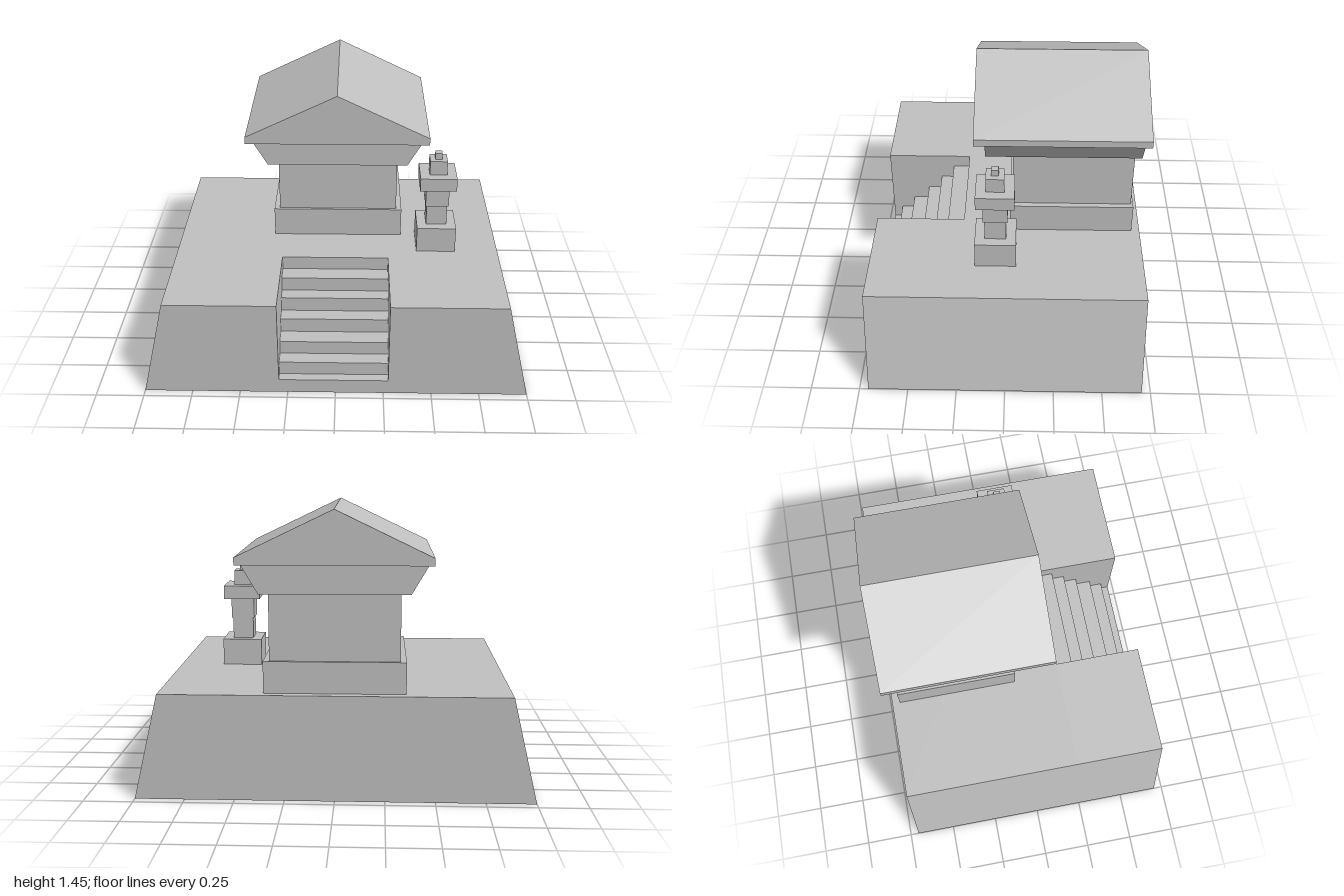
import * as THREE from 'three';

const stone = new THREE.MeshStandardMaterial({ color: 0xc0c0c0 });
stone.name = 'grey stone';

export function createModel() {
  const model = new THREE.Group();
  model.name = 'shrine';

  const add = (name, geometry, parent = model) => {
    const mesh = new THREE.Mesh(geometry, stone);
    mesh.name = name;
    parent.add(mesh);
    return mesh;
  };
  const extrude = (points, depth) => new THREE.ExtrudeGeometry(
    new THREE.Shape(points.map(([x, y]) => new THREE.Vector2(x, y))),
    { depth, bevelEnabled: false });
  // Front profile (x, y) run from z0 to z1
  const prism = (name, points, z0, z1, parent) =>
    add(name, extrude(points, z1 - z0).translate(0, 0, z0), parent);
  // Box given by its limits
  const block = (name, [x0, x1], [y0, y1], [z0, z1], parent) =>
    add(name, new THREE.BoxGeometry(x1 - x0, y1 - y0, z1 - z0)
      .translate((x0 + x1) / 2, (y0 + y1) / 2, (z0 + z1) / 2), parent);

  // Platform with sloping sides and a stairwell cut into the front
  const top = 0.54, back = -0.705, front = 0.705, wellBack = 0.235;
  const wellX = [-0.295, 0.275];
  const platform = new THREE.Group();
  platform.name = 'platform';
  model.add(platform);
  prism('platformBack', [[-1, 0], [1, 0], [0.873, top], [-0.873, top]], back, wellBack, platform);
  prism('platformFrontRight', [[-1, 0], [wellX[0], 0], [wellX[0], top], [-0.873, top]], wellBack, front, platform);
  prism('platformFrontLeft', [[wellX[1], 0], [1, 0], [0.873, top], [wellX[1], top]], wellBack, front, platform);

  // Stairs: stepped side profile (z, y) run across the stairwell
  const risers = [front, 0.655, 0.577, 0.485, 0.405, 0.33];
  const treads = [0.08, 0.155, 0.23, 0.31, 0.39, 0.467];
  const profile = [[wellBack, 0], [front, 0]];
  treads.forEach((y, i) => profile.push([risers[i], y], [risers[i + 1] ?? wellBack, y]));
  add('stairs', extrude(profile, wellX[1] - wellX[0])
    .rotateY(-Math.PI / 2).translate(wellX[1], 0, 0));

  // Small house
  const house = new THREE.Group();
  house.name = 'house';
  model.add(house);
  block('plinth', [-0.352, 0.352], [top, 0.7], [-0.662, -0.015], house);
  block('walls', [-0.322, 0.322], [0.7, 1.035], [-0.65, -0.03], house);
  prism('cornice', [[-0.368, 1.035], [0.368, 1.035], [0.452, 1.178], [-0.452, 1.178]], -0.68, 0.11, house);
  prism('roof', [[-0.478, 1.178], [0.478, 1.178], [0.478, 1.215], [0, 1.445], [-0.478, 1.215]], -0.71, 0.163, house);

  // Stacked stone lantern: half width, bottom, top
  const lantern = new THREE.Group();
  lantern.name = 'lantern';
  model.add(lantern);
  const cx = 0.536, cz = 0.055;
  [
    ['lanternBase', 0.105, top, 0.682],
    ['lanternShaft', 0.055, 0.682, 0.795],
    ['lanternBody', 0.062, 0.795, 0.905],
    ['lanternCap', 0.097, 0.905, 0.977],
    ['lanternNeck', 0.046, 0.977, 1.055],
    ['lanternFinial', 0.018, 1.055, 1.09],
  ].forEach(([name, h, y0, y1]) =>
    block(name, [cx - h, cx + h], [y0, y1], [cz - h, cz + h], lantern));

  return model;
}
